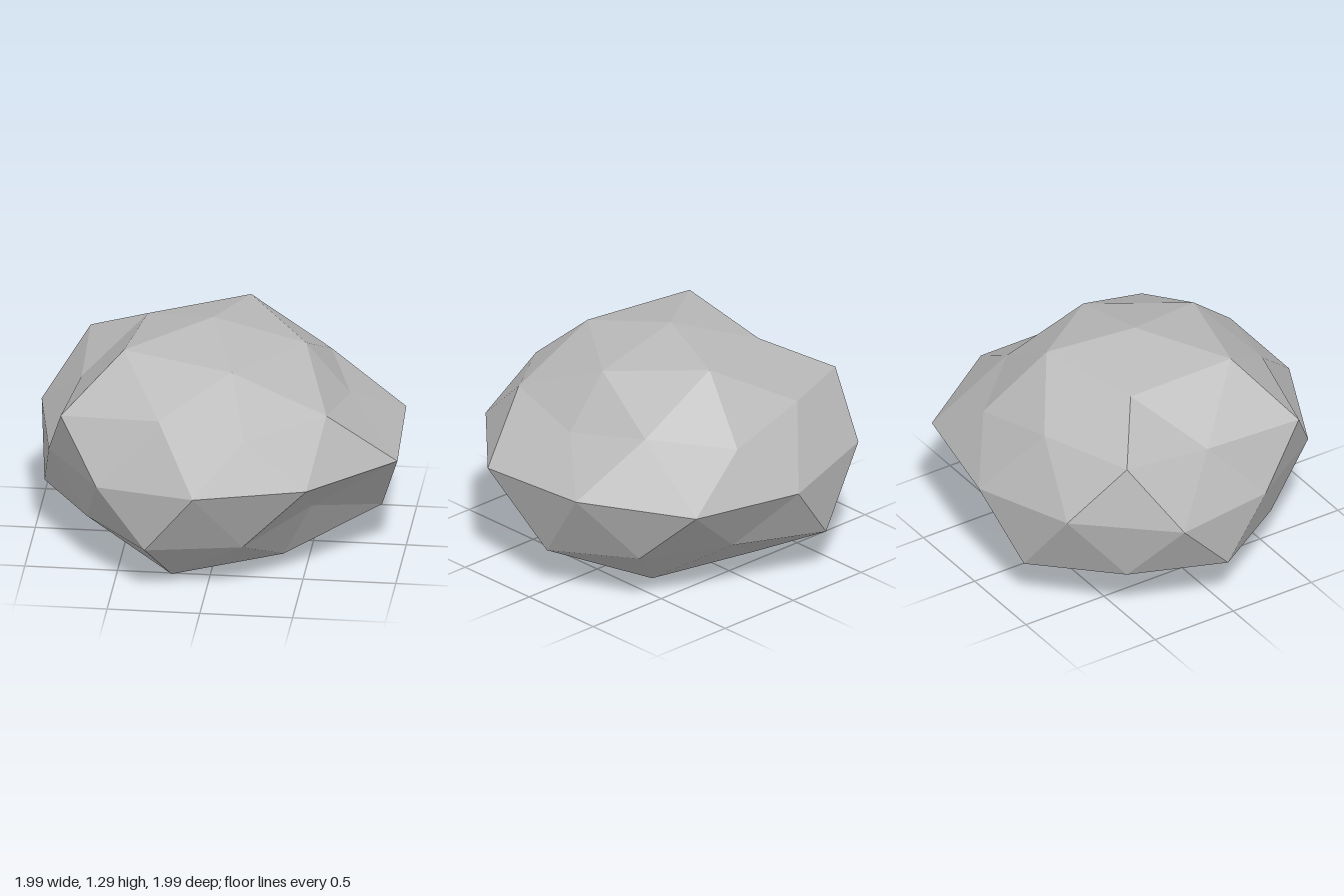
import * as THREE from 'three';

// Rings from top to bottom: first angle (degrees) and [radius, height] per corner
const RINGS = [
  { start: 0, pts: [[0.5, 1.165], [0.505, 1.187], [0.55, 1.22], [0.475, 1.165], [0.49, 1.22]] },
  { start: 0, pts: [[0.74, 0.88], [0.82, 0.96], [0.82, 0.92], [0.71, 0.97], [0.94, 0.92],
    [0.71, 0.905], [0.89, 0.97], [0.775, 1.0], [0.84, 0.9], [0.73, 0.94]] },
  { start: 18, pts: [[1.083, 0.645], [1.008, 0.66], [0.99, 0.66], [0.93, 0.6], [0.9, 0.6],
    [1.01, 0.62], [1.024, 0.67], [1.0, 0.62], [1.088, 0.64], [1.055, 0.667]] },
  { start: 0, pts: [[0.91, 0.235], [0.714, 0.4], [0.775, 0.28], [0.89, 0.285], [0.78, 0.295],
    [0.91, 0.285], [0.9, 0.3], [0.95, 0.265], [0.78, 0.305], [0.9, 0.31]] },
  { start: 36, pts: [[0.51, 0.053], [0.54, 0], [0.47, 0.07], [0.525, 0.05], [0.53, 0.018]] },
];
const CENTRE_X = -0.04;

function createBoulderGeometry() {
  const [a, b, c, d, e] = RINGS.map(({ start, pts }) => pts.map(([r, y], i) => {
    const t = THREE.MathUtils.degToRad(start + (i * 360) / pts.length);
    return new THREE.Vector3(CENTRE_X + r * Math.cos(t), y, r * Math.sin(t));
  }));
  const top = new THREE.Vector3(CENTRE_X, 1.29, 0);
  const bottom = new THREE.Vector3(CENTRE_X, 0.04, 0);
  const corners = [];
  const tri = (...p) => corners.push(...p);
  const at = (ring, i) => ring[(i + ring.length) % ring.length];

  // Caps, each a five-sided fan with a skirt
  for (let k = 0; k < 5; k++) {
    const j = 2 * k;
    tri(top, at(a, k + 1), a[k]);
    tri(a[k], at(a, k + 1), at(b, j + 1));
    tri(b[j], a[k], at(b, j + 1));
    tri(at(b, j - 1), a[k], b[j]);

    tri(d[j], at(d, j + 1), e[k]);
    tri(at(d, j + 1), at(d, j + 2), e[k]);
    tri(e[k], at(d, j + 2), at(e, k + 1));
    tri(e[k], at(e, k + 1), bottom);
  }
  // Two ten-sided bands around the middle
  for (let j = 0; j < 10; j++) {
    tri(b[j], at(b, j + 1), c[j]);
    tri(at(c, j - 1), b[j], c[j]);
    tri(at(c, j - 1), c[j], d[j]);
    tri(c[j], at(d, j + 1), d[j]);
  }

  const geometry = new THREE.BufferGeometry().setFromPoints(corners);
  geometry.computeVertexNormals();
  return geometry;
}

export function createModel() {
  const group = new THREE.Group();
  group.name = 'rock';
  const stone = new THREE.MeshStandardMaterial({ color: 0xb8b8b8, flatShading: true });
  stone.name = 'stone grey';
  const boulder = new THREE.Mesh(createBoulderGeometry(), stone);
  boulder.name = 'boulder';
  group.add(boulder);
  return group;
}
